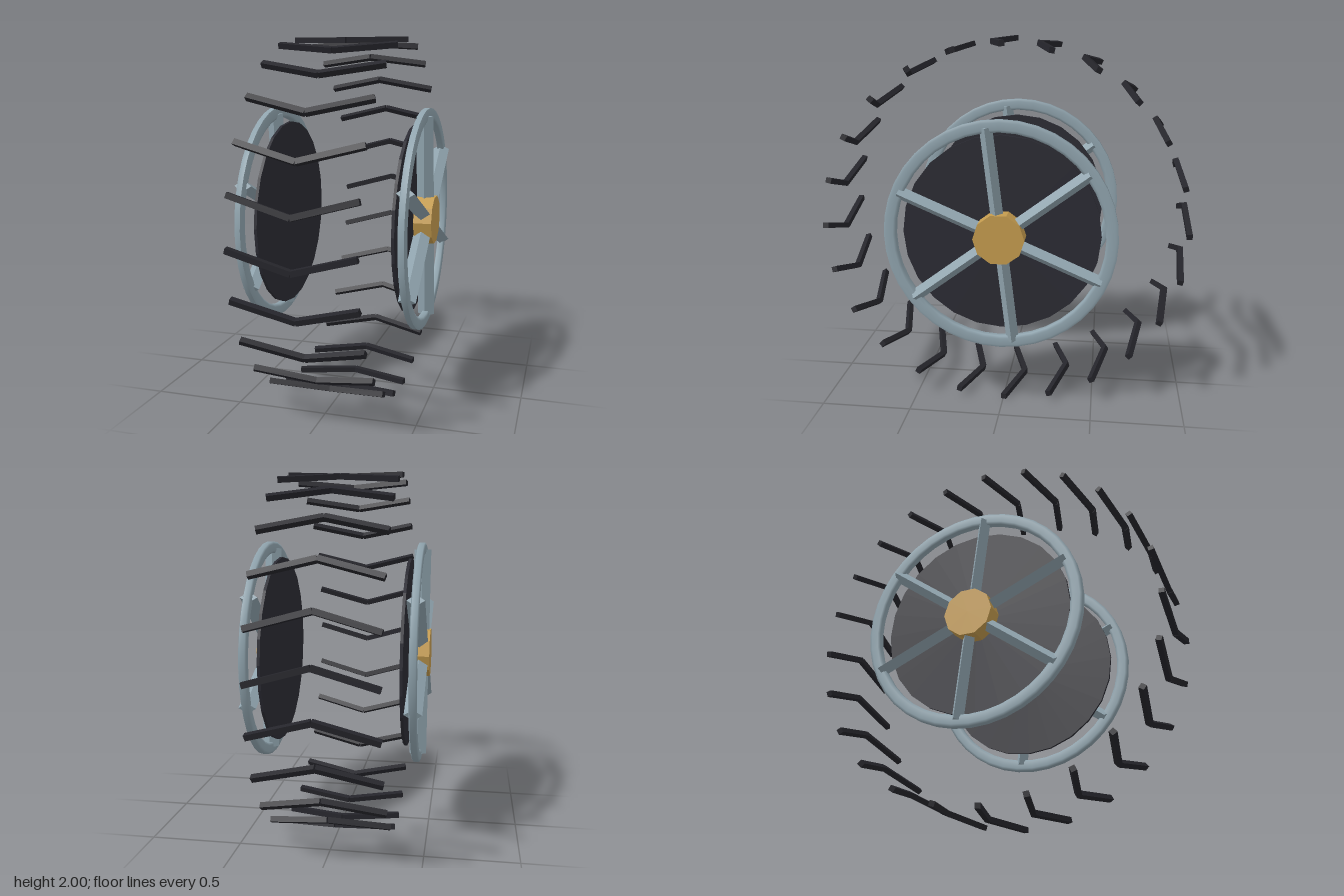
import * as THREE from 'three';

const material = (name, color) => {
  const m = new THREE.MeshStandardMaterial({ color });
  m.name = name;
  return m;
};

// Unshared corners give crisp facets
const faceted = (geometry) => {
  const g = geometry.toNonIndexed();
  g.computeVertexNormals();
  return g;
};

function addMesh(parent, name, geometry, mat) {
  const mesh = new THREE.Mesh(geometry, mat);
  mesh.name = name;
  parent.add(mesh);
  return mesh;
}

export function createModel() {
  const rubber = material('black rubber', 0x25252b);
  const backing = material('dark backing', 0x2b2b33);
  const steel = material('blue grey steel', 0x90a4ae);
  const brass = material('brass', 0xc49b4e);

  const model = new THREE.Group();
  model.name = 'wheel';
  const wheel = new THREE.Group();
  wheel.name = 'wheelBody';
  wheel.position.y = 1;
  model.add(wheel);

  // Chevron treads: two slanted bars meeting at the middle, 24 around the rim
  const barGeo = new THREE.BoxGeometry(0.335, 0.03, 0.03);
  const treads = new THREE.Group();
  treads.name = 'treads';
  wheel.add(treads);
  for (let i = 0; i < 24; i++) {
    const chevron = new THREE.Group();
    chevron.name = 'treadChevron';
    chevron.rotation.x = (i * Math.PI) / 12 + 0.049;
    for (const s of [-1, 1]) {
      const bar = addMesh(chevron, 'treadBar', barGeo, rubber);
      bar.position.set(s * 0.161, 0.984, 0);
      bar.rotation.y = s * 0.274;
    }
    treads.add(chevron);
  }

  // Geometry shared by both side assemblies, each turned so its axis is x
  const discGeo = faceted(new THREE.CylinderGeometry(0.53, 0.53, 0.016, 24).rotateZ(Math.PI / 2));
  const hubGeo = faceted(new THREE.CylinderGeometry(0.136, 0.136, 0.1, 10).rotateZ(Math.PI / 2));
  const spokeGeo = faceted(
    new THREE.CylinderGeometry(1, 1, 0.53, 4).scale(0.0475, 1, 0.034).translate(0, 0.315, 0));

  // Rim ring: rounded flat band section swept round the axle
  const section = [
    [0.032, -0.015], [0.032, 0.015], [0.018, 0.021], [-0.018, 0.021],
    [-0.032, 0.015], [-0.032, -0.015], [-0.018, -0.021], [0.018, -0.021], [0.032, -0.015],
  ].map(([r, h]) => new THREE.Vector2(0.586 + r, h));
  const ringGeo = new THREE.LatheGeometry(section, 40).rotateZ(Math.PI / 2);

  for (const s of [-1, 1]) {
    const side = new THREE.Group();
    side.name = s > 0 ? 'leftSide' : 'rightSide';
    wheel.add(side);
    addMesh(side, 'backingDisc', discGeo, backing).position.x = s * 0.37;
    addMesh(side, 'rimRing', ringGeo, steel).position.x = s * 0.433;
    addMesh(side, 'hub', hubGeo, brass).position.x = s * 0.44;

    // Six diamond-section spokes
    for (let i = 0; i < 6; i++) {
      const spoke = addMesh(side, 'spoke', spokeGeo, steel);
      spoke.position.x = s * 0.433;
      spoke.rotation.x = 0.12 + (i * Math.PI) / 3;
    }
  }
  return model;
}
